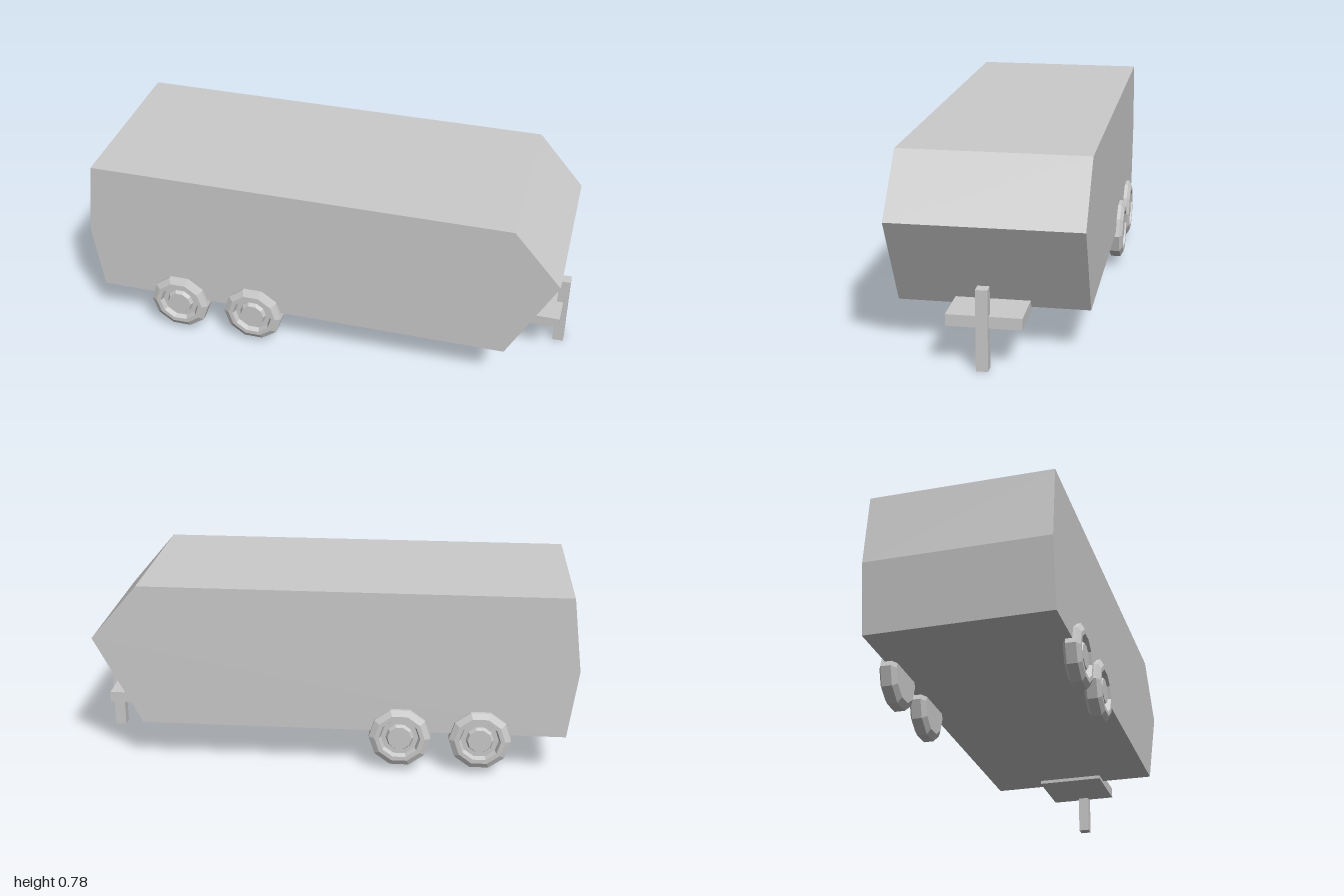
import * as THREE from 'three';

const material = new THREE.MeshStandardMaterial({ color: 0xcccccc, flatShading: true });

function addPart(parent, name, geometry, x = 0, y = 0, z = 0) {
  const mesh = new THREE.Mesh(geometry, material);
  mesh.name = name;
  mesh.position.set(x, y, z);
  parent.add(mesh);
  return mesh;
}

// Side profile (length, height) extruded across the width
function bodyGeometry(width) {
  const profile = [
    [-0.957, 0.18], [0.80, 0.18], [0.996, 0.55],
    [0.80, 0.78], [-0.957, 0.78], [-0.996, 0.47],
  ].map(([z, y]) => new THREE.Vector2(z, y));
  const geometry = new THREE.ExtrudeGeometry(new THREE.Shape(profile), { depth: width, bevelEnabled: false });
  return geometry.translate(0, 0, -width / 2).rotateY(-Math.PI / 2);
}

// Ten-sided tyre with bevelled shoulders, recessed rim and raised hub
function wheelGeometry(side) {
  const profile = [
    [0, -0.035], [0.1, -0.035], [0.128, -0.02], [0.128, 0.022], [0.104, 0.035],
    [0.086, 0.035], [0.078, 0.014], [0.058, 0.014], [0.05, 0.03], [0, 0.03],
  ].map(([r, h]) => new THREE.Vector2(r, h));
  return new THREE.LatheGeometry(profile, 10).rotateZ(-side * Math.PI / 2);
}

export function createModel() {
  const model = new THREE.Group();
  model.name = 'trailer';

  // The trailer stands diagonally; its own nose points along local +z
  const trailer = new THREE.Group();
  trailer.name = 'turnedTrailer';
  trailer.rotation.y = THREE.MathUtils.degToRad(49.3);
  model.add(trailer);

  addPart(trailer, 'body', bodyGeometry(0.746));

  // Tandem wheels on both sides
  for (const side of [-1, 1]) {
    for (const [axle, z] of [['rear', -0.607], ['front', -0.277]]) {
      const name = axle + (side > 0 ? 'LeftWheel' : 'RightWheel');
      addPart(trailer, name, wheelGeometry(side), side * 0.366, 0.158, z);
    }
  }

  // Hitch plate under the nose with its support post
  addPart(trailer, 'hitchPlate', new THREE.BoxGeometry(0.29, 0.046, 0.283), 0, 0.188, 0.858);
  addPart(trailer, 'supportPost', new THREE.BoxGeometry(0.046, 0.32, 0.046), -0.004, 0.16, 0.996);

  return model;
}
